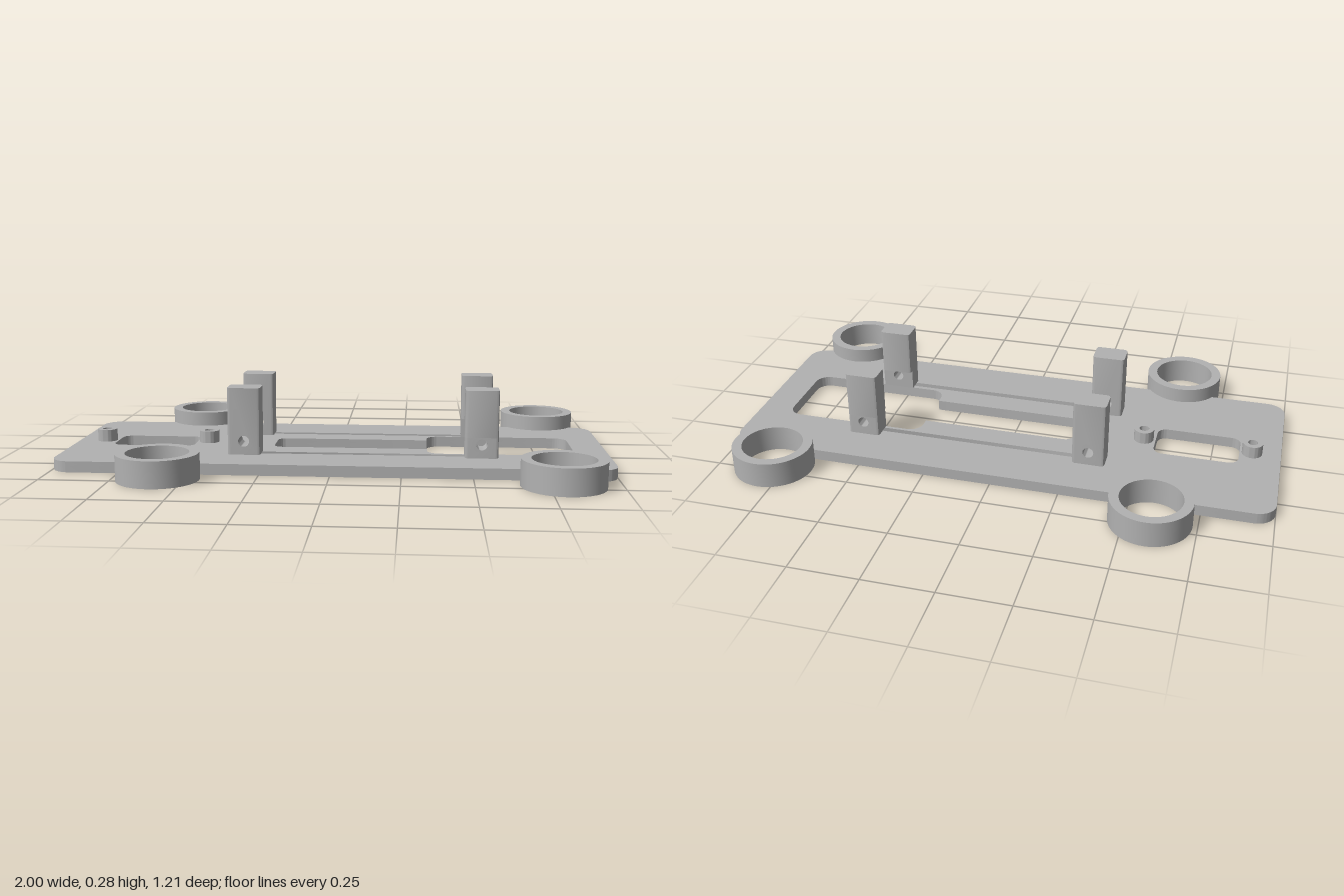
import * as THREE from 'three';
import { toCreasedNormals } from 'three/addons/utils/BufferGeometryUtils.js';

const PLATE_H = 0.04, GROOVE_Y = 0.025;
const RING_X = [-0.588, 0.797], RING_Z = 0.46;
const POST_Z = 0.185, BOSS_X = [-0.895, -0.495];

export function createModel() {
  const model = new THREE.Group();
  model.name = 'chassis';
  const grey = new THREE.MeshStandardMaterial({ color: 0xb2b2b2 });
  grey.name = 'grey plastic';

  const add = (name, geometry, parent = model) => {
    const mesh = new THREE.Mesh(toCreasedNormals(geometry, 0.6), grey);
    mesh.name = name;
    parent.add(mesh);
    return mesh;
  };

  // Adds a counter-clockwise rounded corner; successive corners join with lines
  const corner = (path, x, y, r, start) => path.absarc(x, y, r, start, start + Math.PI / 2, false);
  const roundedRect = (x0, x1, y0, y1, r) => {
    const p = new THREE.Path();
    corner(p, x0 + r, y0 + r, r, Math.PI);
    corner(p, x1 - r, y0 + r, r, -Math.PI / 2);
    corner(p, x1 - r, y1 - r, r, 0);
    corner(p, x0 + r, y1 - r, r, Math.PI / 2);
    p.closePath();
    return p;
  };
  const circle = (x, y, r) => new THREE.Path().absarc(x, y, r, 0, Math.PI * 2, false);

  // Plate outline, notched where the wheel rings pass through
  const plateShape = () => {
    const s = new THREE.Shape(), r = 0.07, w = 0.385, notch = 0.127;
    const a = Math.asin((RING_Z - w) / notch);
    corner(s, -1 + r, -w + r, r, Math.PI);
    for (const x of RING_X) s.absarc(x, -RING_Z, notch, Math.PI - a, a, true);
    corner(s, 1 - r, -w + r, r, -Math.PI / 2);
    corner(s, 1 - r, w - r, r, 0);
    for (const x of [...RING_X].reverse()) s.absarc(x, RING_Z, notch, -a, -Math.PI + a, true);
    corner(s, -1 + r, w - r, r, Math.PI / 2);
    s.closePath();

    // Stepped central opening
    const c = new THREE.Path();
    corner(c, -0.205, -0.05, 0.03, Math.PI);
    c.lineTo(0.34, -0.08);
    corner(c, 0.39, -0.108, 0.05, Math.PI);
    corner(c, 0.83, -0.108, 0.05, -Math.PI / 2);
    corner(c, 0.83, 0.108, 0.05, 0);
    corner(c, 0.39, 0.108, 0.05, Math.PI / 2);
    c.lineTo(0.34, 0.08);
    corner(c, -0.205, 0.05, 0.03, Math.PI / 2);
    c.closePath();
    s.holes.push(c, roundedRect(-0.85, -0.54, -0.088, 0.088, 0.035));
    for (const x of BOSS_X) s.holes.push(circle(x, 0, 0.018));
    return s;
  };
  const slab = (shape, y, depth) =>
    new THREE.ExtrudeGeometry(shape, { depth, bevelEnabled: false, curveSegments: 20 })
      .rotateX(-Math.PI / 2).translate(0, y, 0);

  // Base plate in two layers; the upper one carries the long grooves
  add('basePlate', slab(plateShape(), 0, GROOVE_Y));
  const upper = plateShape();
  for (const z of [-POST_Z, POST_Z]) {
    upper.holes.push(roundedRect(-0.3, 0.5, z - 0.015, z + 0.015, 0.005));
  }
  add('groovedPlateTop', slab(upper, GROOVE_Y, PLATE_H - GROOVE_Y));

  // Upright tubes
  const tube = (name, x, z, outer, inner, y0, y1) => {
    const profile = [[outer, y0], [outer, y1], [inner, y1], [inner, y0], [outer, y0]]
      .map(([r, y]) => new THREE.Vector2(r, y));
    add(name, new THREE.LatheGeometry(profile, 56)).position.set(x, 0, z);
  };
  for (const x of RING_X) {
    for (const z of [-RING_Z, RING_Z]) tube('wheelRing', x, z, 0.145, 0.11, 0, 0.095);
  }
  for (const x of BOSS_X) tube('screwBoss', x, 0, 0.037, 0.018, 0.03, 0.085);

  // Post section extruded through its depth, with rounded vertical edges
  const depths = [-0.045, -0.0415, -0.033, 0.033, 0.0415, 0.045];
  const insets = [0.012, 0.0035, 0, 0, 0.0035, 0.012];
  const postSection = (y0, y1, innerZ, drilled) => {
    const s = new THREE.Shape();
    s.moveTo(-0.06, y0).lineTo(0.06, y0).lineTo(0.06, y1).lineTo(-0.06, y1).closePath();
    if (drilled) s.holes.push(circle(0, 0.09, 0.02));
    const g = new THREE.ExtrudeGeometry(s, { depth: 5, steps: 5, bevelEnabled: false, curveSegments: 16 });
    const p = g.attributes.position;
    for (let i = 0; i < p.count; i++) {
      const level = Math.round(p.getZ(i)), x = p.getX(i);
      if (Math.abs(x) > 0.05) p.setX(i, x - Math.sign(x) * insets[level]);
      p.setZ(i, Math.max(depths[level], innerZ));
    }
    g.computeVertexNormals();
    return g;
  };

  // Four drilled posts; the pair at +x has a recess at the foot of the inner face
  for (const side of [-1, 1]) {
    for (const [x, recessed] of [[-0.325, false], [0.535, true]]) {
      const post = new THREE.Group();
      post.name = 'axlePost';
      if (recessed) {
        add('recessedPostFoot', postSection(PLATE_H, 0.115, -0.03, true), post);
        add('postTop', postSection(0.115, 0.285, -0.045, false), post);
      } else {
        add('postBody', postSection(PLATE_H, 0.285, -0.045, true), post);
      }
      post.position.set(x, 0, side * POST_Z);
      if (side < 0) post.rotation.y = Math.PI;
      model.add(post);
    }
  }
  return model;
}
